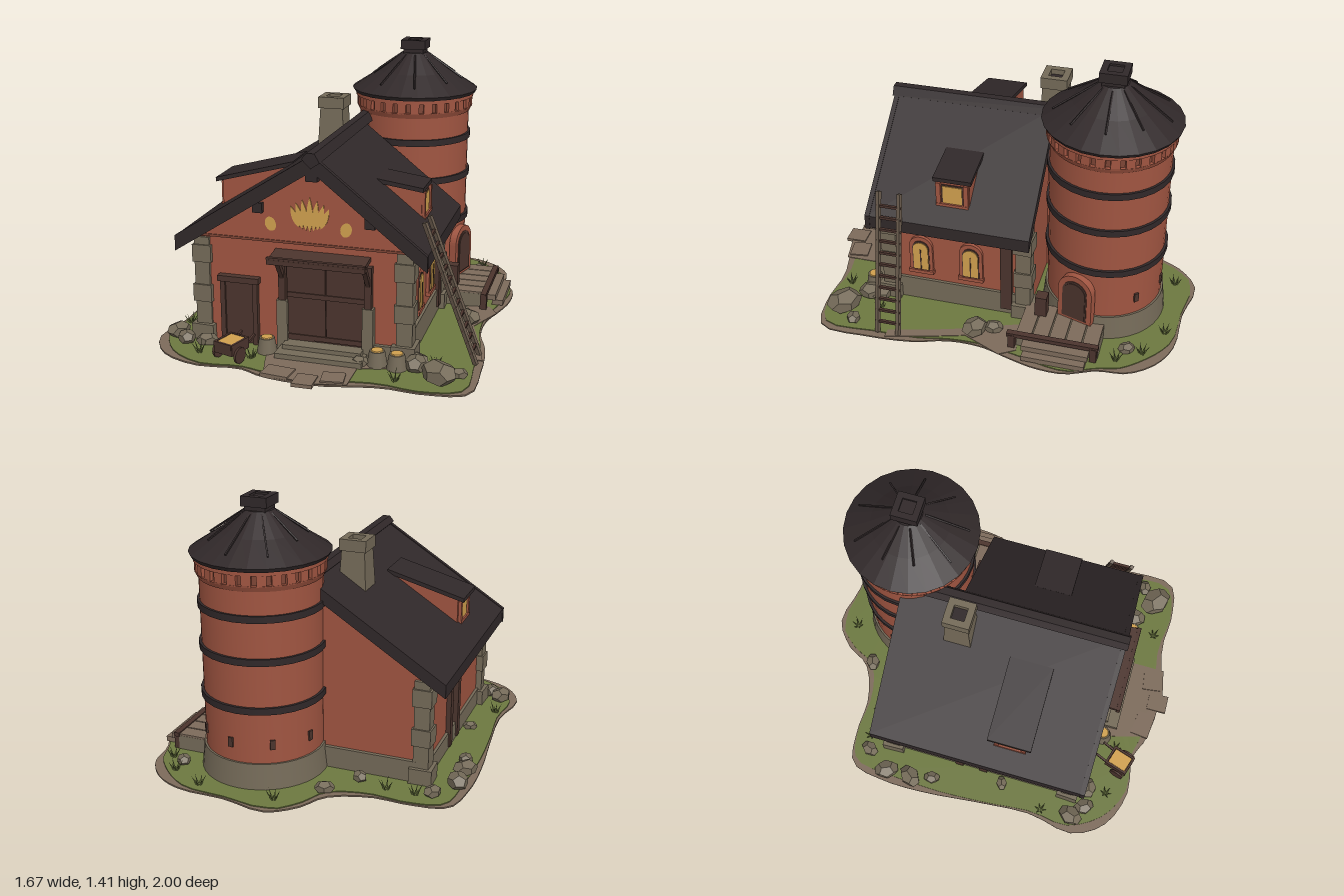
import * as THREE from 'three';

const mat = (name, color) => {
  const m = new THREE.MeshStandardMaterial({ color });
  m.name = name;
  return m;
};

export function createModel() {
  const slate = mat('slate', 0x302829), brick = mat('brick', 0xa05541), darkBrick = mat('darkBrick', 0x7d4535);
  const stone = mat('stone', 0x746a58), wood = mat('darkWood', 0x4b342d), oldWood = mat('weatheredWood', 0x66584a);
  const grass = mat('grass', 0x6c7840), path = mat('path', 0x7c6a5a), gold = mat('gold', 0xd0a04e), soil = mat('soil', 0x6c5d4f);
  const root = new THREE.Group(), building = new THREE.Group();
  building.name = 'building';
  building.position.y = 0.004;
  root.add(building);
  let seed = 7;
  const rnd = () => (seed = (seed * 16807) % 2147483647) / 2147483647;

  // Helpers
  const add = (name, geo, m, x = 0, y = 0, z = 0, ry = 0, parent = building) => {
    const mesh = new THREE.Mesh(geo, m);
    mesh.name = name;
    mesh.position.set(x, y, z);
    mesh.rotation.y = ry;
    parent.add(mesh);
    return mesh;
  };
  const box = (name, m, x, y, z, w, h, d, ry = 0, parent = building) =>
    add(name, new THREE.BoxGeometry(w, h, d), m, x, y, z, ry, parent);
  const cyl = (name, m, x, y, z, rTop, rBot, h, n = 40) => add(name, new THREE.CylinderGeometry(rTop, rBot, h, n), m, x, y, z);
  const extrude = (shape, depth) => new THREE.ExtrudeGeometry(shape, { depth, bevelEnabled: false, curveSegments: 10 });
  const poly = pts => new THREE.Shape(pts.map(p => new THREE.Vector2(p[0], p[1])));
  const prism = (name, m, pts, z0, z1) => add(name, extrude(poly(pts), z1 - z0), m, 0, 0, z0);
  const slab = (name, m, x1, y1, x2, y2, t, z0, z1) =>
    prism(name, m, [[x1, y1], [x2, y2], [x2, y2 - t], [x1, y1 - t]], z0, z1);
  const beam = (name, m, a, b, t, parent = building) => {
    const p = new THREE.Vector3(...a), q = new THREE.Vector3(...b);
    const mesh = box(name, m, 0, 0, 0, t, t, p.distanceTo(q), 0, parent);
    mesh.position.copy(p).lerp(q, 0.5);
    mesh.quaternion.setFromUnitVectors(new THREE.Vector3(0, 0, 1), q.sub(p).normalize());
    return mesh;
  };
  const arch = (w, h) => {
    const s = new THREE.Shape();
    s.moveTo(-w / 2, 0);
    s.lineTo(w / 2, 0);
    s.lineTo(w / 2, h - w / 2);
    s.absarc(0, h - w / 2, w / 2, 0, Math.PI, false);
    return s;
  };
  const flat = (name, m, pts, y, h) => {
    const g = extrude(poly(pts.map(p => [p[0], -p[1]])), h);
    g.rotateX(-Math.PI / 2);
    return add(name, g, m, 0, y, 0, 0, root);
  };

  // Ground
  const outline = [[0.02, -1], [0.25, -0.96], [0.5, -0.95], [0.65, -0.88], [0.75, -0.75], [0.77, -0.6], [0.83, -0.45], [0.83, -0.3],
    [0.8, -0.17], [0.75, 0], [0.75, 0.18], [0.8, 0.35], [0.82, 0.6], [0.8, 0.85], [0.6, 0.9], [0.4, 0.89], [0.1, 0.95], [-0.17, 0.93],
    [-0.3, 0.88], [-0.52, 0.9], [-0.72, 0.82], [-0.82, 0.65], [-0.78, 0.4], [-0.8, 0.1], [-0.83, -0.2], [-0.83, -0.45],
    [-0.78, -0.65], [-0.6, -0.69], [-0.4, -0.69], [-0.2, -0.77], [-0.12, -0.9]];
  const rim = new THREE.CatmullRomCurve3(outline.map(p => new THREE.Vector3(p[0], 0, p[1])), true).getPoints(90).slice(0, -1).map(p => [p.x, p.z]);
  flat('groundBase', soil, rim, 0, 0.004);
  flat('dirtRim', path, rim, 0.004, 0.004);
  flat('grass', grass, rim.map((p, i) => {
    const k = 0.972 + 0.02 * Math.sin(i * 0.5);
    return [p[0] * k, p[1] * k];
  }), 0.008, 0.005);
  flat('frontPath', path, [[-0.25, 0.6], [0.5, 0.6], [0.42, 0.7], [0.25, 0.75], [0.25, 0.93], [0.1, 0.96], [-0.16, 0.93], [-0.2, 0.8]], 0.012, 0.004);
  flat('sidePath', path, [[0.55, -0.15], [0.74, -0.18], [0.79, -0.1], [0.7, 0.1], [0.76, 0.3], [0.81, 0.5], [0.76, 0.5], [0.68, 0.2]], 0.012, 0.004);
  [[-0.1, 0.89, 0.14, 0.1], [0.05, 0.94, 0.1, 0.11], [0.17, 0.88, 0.11, 0.1]].forEach(([x, z, w, d], i) =>
    box('pavingStone', path, x, 0.01, z, w, 0.018, d, i * 0.12 - 0.1));

  // House walls, with the right half stopping short at the tower
  prism('frontHouseWalls', brick, [[-0.6, 0], [0.46, 0], [0.46, 0.6], [0, 0.96], [-0.6, 0.57]], -0.17, 0.6);
  prism('rearHouseWalls', brick, [[-0.6, 0], [0.02, 0], [0.02, 0.96], [-0.6, 0.57]], -0.47, -0.17);
  prism('gablePanel', brick, [[-0.6, 0.565], [0.46, 0.565], [0.46, 0.6], [0, 0.96], [-0.6, 0.572]], 0.6, 0.622);
  box('gableLedge', darkBrick, -0.07, 0.568, 0.61, 1.04, 0.012, 0.034);
  box('rightFoundation', stone, 0.46, 0.07, 0.21, 0.03, 0.14, 0.78);
  box('leftFoundation', stone, -0.6, 0.05, 0.06, 0.03, 0.1, 1.07);
  box('rearFoundation', stone, -0.32, 0.06, -0.475, 0.56, 0.12, 0.03);
  box('frontFoundation', stone, 0.36, 0.04, 0.605, 0.2, 0.08, 0.03);

  // Stone corner piers
  const pier = (x, z, top) => {
    for (let y = 0, i = 0; y < top - 0.01; i++) {
      const h = Math.min(0.09 + 0.03 * (i % 2), top - y);
      const w = 0.08 + (i % 2 ? 0 : 0.018) + (i === 0 ? 0.02 : 0);
      box('cornerStone', stone, x, y + h / 2, z, w, h, w, (rnd() - 0.5) * 0.1);
      y += h;
    }
  };
  pier(-0.59, 0.575, 0.55);
  pier(0.445, 0.575, 0.56);
  pier(-0.59, -0.45, 0.55);
  pier(0.445, -0.15, 0.55);
  box('rightWallPost', wood, 0.465, 0.28, -0.06, 0.04, 0.48, 0.06);
  for (const z of [-0.06, 0.08]) box('leftWallPost', wood, -0.605, 0.28, z, 0.04, 0.52, 0.045);
  box('leftWallBeam', wood, -0.605, 0.5, 0.06, 0.035, 0.04, 1);

  // Main roof
  slab('leftRoof', slate, -0.71, 0.56, 0.02, 1.025, 0.07, -0.51, 0.65);
  slab('rightRoof', slate, 0.56, 0.57, 0, 1.015, 0.07, -0.2, 0.65);
  slab('leftBargeBoard', slate, -0.712, 0.562, 0, 1.018, 0.08, 0.635, 0.66);
  slab('rightBargeBoard', slate, 0.562, 0.572, 0, 1.02, 0.08, 0.635, 0.66);
  prism('ridgeCap', slate, [[-0.045, 1.0], [-0.02, 1.03], [0.02, 1.03], [0.045, 0.985], [0, 0.955]], -0.515, 0.67);
  box('ridgeBeamEnd', slate, 0, 0.925, 0.625, 0.06, 0.07, 0.07);
  for (const [x, y] of [[-0.28, 0.735], [0.28, 0.7]]) box('purlinEnd', slate, x, y, 0.62, 0.05, 0.05, 0.05);

  // Dormers
  const dormer = (s, x, yLow, yTop, xIn, yIn, z0, z1, lip) => {
    const zc = (z0 + z1) / 2, h = yTop - yLow;
    prism('dormerWalls', brick, [[s * x, yLow], [s * x, yTop], [s * xIn, yIn], [s * xIn, yLow]], z0 + 0.012, z1 - 0.012);
    slab('dormerRoof', slate, s * (x + lip), yTop + 0.015, s * xIn, yIn + 0.018, 0.022, z0, z1);
    box('dormerReveal', wood, s * (x + 0.001), yLow + h * 0.48, zc, 0.008, 0.116, 0.116);
    box('dormerPane', gold, s * (x + 0.005), yLow + h * 0.48, zc, 0.008, 0.1, 0.1);
    for (const e of [-1, 1]) box('dormerJamb', brick, s * (x + 0.006), yLow + h * 0.48, zc + e * 0.072, 0.02, h * 0.9, 0.024);
    box('dormerSill', brick, s * (x + 0.006), yLow + 0.012, zc, 0.024, 0.024, 0.17);
  };
  dormer(1, 0.455, 0.63, 0.785, 0.23, 0.815, 0.12, 0.32, 0.01);
  dormer(-1, 0.585, 0.62, 0.765, 0.2, 0.875, 0.11, 0.34, 0.035);

  // Chimney
  const stack = add('chimneyStack', new THREE.CylinderGeometry(0.085, 0.11, 0.34, 4).rotateY(Math.PI / 4).toNonIndexed(), stone, -0.135, 0.93, -0.17);
  stack.geometry.computeVertexNormals();
  for (const s of [-1, 1]) {
    box('chimneyRim', stone, -0.135 + s * 0.053, 1.108, -0.17, 0.035, 0.06, 0.14);
    box('chimneyRim', stone, -0.135, 1.108, -0.17 + s * 0.053, 0.072, 0.06, 0.035);
  }
  box('chimneyFlue', slate, -0.135, 1.1, -0.17, 0.075, 0.02, 0.075);

  // Large front door with awning and steps
  for (const s of [-1, 1]) box('barnDoorLeaf', wood, 0.055 + s * 0.1, 0.26, 0.61, 0.196, 0.4, 0.02);
  for (const y of [0.08, 0.3]) box('barnDoorRail', wood, 0.055, y, 0.62, 0.39, 0.025, 0.012);
  for (const x of [-0.165, 0.27]) {
    box('doorPost', wood, x, 0.36, 0.615, 0.035, 0.24, 0.04);
    box('doorPostStone', stone, x, 0.14, 0.615, 0.055, 0.26, 0.05);
    beam('awningBrace', wood, [x, 0.38, 0.62], [x, 0.5, 0.7], 0.022);
  }
  const awning = box('awning', wood, 0.035, 0.505, 0.66, 0.48, 0.022, 0.13);
  awning.rotation.x = 0.12;
  box('awningEdge', wood, 0.035, 0.5, 0.715, 0.49, 0.035, 0.02);
  box('lowerStep', stone, 0.05, 0.02, 0.67, 0.44, 0.035, 0.16);
  box('upperStep', stone, 0.05, 0.045, 0.64, 0.4, 0.03, 0.1);

  // Small front door
  box('smallDoor', wood, -0.395, 0.17, 0.605, 0.15, 0.32, 0.02);
  for (const x of [-0.48, -0.31]) box('smallDoorPost', wood, x, 0.17, 0.61, 0.025, 0.34, 0.035);
  box('smallDoorLintel', wood, -0.395, 0.35, 0.615, 0.215, 0.03, 0.045);

  // Gilded gable ornament: a plain spray of leaves and two ovals
  for (let i = -3; i <= 3; i++) {
    const h = 0.17 - Math.abs(i) * 0.02, s = new THREE.Shape();
    s.moveTo(0, 0);
    s.quadraticCurveTo(0.032, h * 0.4, 0, h);
    s.quadraticCurveTo(-0.032, h * 0.4, 0, 0);
    add('gableLeaf', extrude(s, 0.005), gold, -0.02 + i * 0.018, 0.632 + Math.abs(i) * 0.006, 0.622).rotation.z = -i * 0.13;
  }
  for (const x of [-0.22, 0.16]) {
    const oval = add('gableOval', new THREE.CircleGeometry(0.028, 20), gold, x, 0.655, 0.625);
    oval.scale.y = 1.3;
    oval.rotation.z = x < 0 ? 0.3 : -0.3;
  }

  // Arched openings
  const opening = (name, x, y, z, ry, w, h, fill, depth) => {
    const g = new THREE.Group();
    g.name = name;
    g.position.set(x, y, z);
    g.rotation.y = ry;
    building.add(g);
    add('surround', extrude(arch(w, h), depth), brick, 0, 0, 0, 0, g);
    add('reveal', extrude(arch(w * 0.72, h * 0.84), 0.004), wood, 0, h * 0.05, depth, 0, g);
    add('panel', extrude(arch(w * 0.64, h * 0.77), 0.004), fill, 0, h * 0.08, depth + 0.004, 0, g);
  };
  for (const z of [0.4, 0.13]) {
    opening('archedWindow', 0.455, 0.2, z, Math.PI / 2, 0.125, 0.22, gold, 0.022);
    box('windowSill', brick, 0.47, 0.2, z, 0.035, 0.02, 0.135);
    box('windowBar', wood, 0.486, 0.28, z, 0.003, 0.13, 0.006);
  }

  // Round tower
  const tx = 0.225, tz = -0.53;
  cyl('towerBase', stone, tx, 0.07, tz, 0.31, 0.325, 0.14);
  cyl('towerWall', brick, tx, 0.6, tz, 0.303, 0.3, 0.94);
  [0.42, 0.67, 0.885].forEach(y => cyl('towerBand', slate, tx, y, tz, 0.315, 0.315, 0.035, 28));
  cyl('corniceCore', darkBrick, tx, 1.08, tz, 0.304, 0.304, 0.12);
  cyl('corniceLower', brick, tx, 1.035, tz, 0.322, 0.308, 0.03);
  cyl('corniceUpper', brick, tx, 1.118, tz, 0.326, 0.326, 0.036);
  for (let i = 0; i < 28; i++) {
    const a = (i / 28) * Math.PI * 2;
    box('corniceBlock', brick, tx + Math.sin(a) * 0.308, 1.08, tz + Math.cos(a) * 0.308, 0.046, 0.07, 0.024, a);
  }
  const profile = [[0, 1.12], [0.335, 1.12], [0.347, 1.14], [0.2, 1.235], [0.07, 1.335], [0, 1.335]].map(p => new THREE.Vector2(...p));
  const cone = new THREE.LatheGeometry(profile, 24).toNonIndexed();
  cone.computeVertexNormals();
  add('towerRoof', cone, slate, tx, 0, tz);
  for (let i = 0; i < 9; i++) {
    const a = (i + 0.3) * Math.PI * 2 / 9, c = Math.sin(a), d = Math.cos(a), r = 0.2 + 0.1 * rnd();
    beam('roofSeam', slate, [tx + c * r, 1.338 - (r - 0.07) * 0.71, tz + d * r], [tx + c * 0.08, 1.325, tz + d * 0.08], 0.008);
  }
  box('towerVent', slate, tx, 1.35, tz, 0.11, 0.09, 0.11);
  for (const s of [-1, 1]) {
    box('ventRim', slate, tx + s * 0.052, 1.38, tz, 0.032, 0.05, 0.136);
    box('ventRim', slate, tx, 1.38, tz + s * 0.052, 0.075, 0.05, 0.032);
  }
  for (const a of [2.3, 3, 3.7, 4.4]) box('towerSlot', wood, tx + Math.sin(a) * 0.302, 0.24, tz + Math.cos(a) * 0.302, 0.025, 0.05, 0.014, a);
  opening('towerDoor', tx + 0.28, 0.1, tz + 0.085, 1.28, 0.19, 0.28, wood, 0.04);

  // Porch, steps and bench rail
  box('porchDeck', stone, 0.58, 0.045, -0.38, 0.24, 0.08, 0.42);
  for (let i = 0; i < 5; i++) box('porchPlank', path, 0.59, 0.088, -0.55 + i * 0.085, 0.26, 0.014, 0.078);
  box('porchStep', path, 0.735, 0.055, -0.38, 0.06, 0.03, 0.34);
  box('porchStep', path, 0.775, 0.025, -0.38, 0.06, 0.028, 0.32);
  box('porchRail', wood, 0.71, 0.09, -0.36, 0.03, 0.022, 0.47);
  for (const z of [-0.57, -0.15]) box('porchLeg', wood, 0.71, 0.045, z, 0.035, 0.09, 0.035);
  box('storageCrate', wood, 0.52, 0.13, -0.26, 0.06, 0.16, 0.06);

  // Ladder leaning past the eave
  const ladder = new THREE.Group();
  ladder.name = 'ladder';
  building.add(ladder);
  for (const z of [0, 0.11]) beam('ladderRail', oldWood, [0.785, 0.01, 0.435 + z], [0.53, 0.715, 0.475 + z], 0.02, ladder);
  for (let i = 1; i < 12; i++) {
    const t = i / 12.2, x = 0.785 - 0.255 * t, z = 0.435 + 0.04 * t;
    beam('ladderRung', wood, [x, 0.01 + 0.705 * t, z - 0.01], [x, 0.01 + 0.705 * t, z + 0.12], 0.014, ladder);
  }

  // Handcart with load
  const cart = new THREE.Group();
  cart.name = 'handcart';
  cart.position.set(-0.365, 0, 0.81);
  cart.rotation.y = -0.3;
  building.add(cart);
  box('cartBed', wood, 0, 0.065, 0, 0.11, 0.015, 0.13, 0, cart);
  box('cartLoad', gold, 0, 0.09, 0, 0.085, 0.045, 0.105, 0, cart);
  for (const s of [-1, 1]) {
    box('cartSide', wood, s * 0.05, 0.09, 0, 0.012, 0.05, 0.13, 0, cart);
    box('cartEnd', wood, 0, 0.09, s * 0.06, 0.1, 0.05, 0.012, 0, cart);
    add('cartWheel', new THREE.CylinderGeometry(0.04, 0.04, 0.012, 14).rotateZ(Math.PI / 2), wood, s * 0.066, 0.052, 0.02, 0, cart);
    beam('cartHandle', wood, [s * 0.04, 0.07, -0.06], [s * 0.04, 0.1, -0.13], 0.012, cart);
  }

  // Sacks with open tops
  for (const [x, z] of [[-0.23, 0.68], [0.33, 0.68], [0.43, 0.69]]) {
    cyl('sack', stone, x, 0.045, z, 0.038, 0.052, 0.08, 10);
    cyl('sackFill', gold, x, 0.086, z, 0.028, 0.032, 0.008, 10);
  }

  // Rocks
  [[-0.77, -0.45, 0.06], [-0.77, -0.31, 0.06], [-0.74, -0.19, 0.04], [0.66, 0.06, 0.065], [0.62, -0.03, 0.045], [0.65, 0.78, 0.085],
    [0.73, 0.7, 0.04], [-0.73, 0.62, 0.06], [-0.66, 0.68, 0.05], [-0.18, -0.73, 0.045], [0.52, 0.68, 0.06], [-0.55, 0.68, 0.05],
    [0.25, 0.7, 0.04], [0.52, 0.62, 0.05], [-0.68, -0.58, 0.045], [-0.3, -0.56, 0.04], [-0.66, 0.2, 0.035], [0.6, -0.72, 0.04]].forEach(([x, z, r]) => {
    const rock = add('rock', new THREE.DodecahedronGeometry(r), stone, x, r * 0.68, z, rnd() * 6);
    rock.scale.set(1.15, 0.7, 0.9);
  });

  // Grass tufts
  [[0.02, -0.89], [0.42, -0.89], [0.6, -0.8], [0.68, -0.68], [-0.6, -0.6], [-0.45, -0.6], [-0.74, 0.45], [-0.55, 0.78],
    [0.6, 0.6], [0.45, 0.82], [-0.28, 0.77]].forEach(([x, z]) => {
    for (let i = 0; i < 6; i++) {
      const h = 0.045 + rnd() * 0.03, a = i * 1.05;
      const blade = add('grassBlade', new THREE.ConeGeometry(0.006, h, 3), grass, x + Math.sin(a) * 0.022, h / 2, z + Math.cos(a) * 0.022);
      blade.rotation.set(Math.cos(a) * 0.5, 0, -Math.sin(a) * 0.5);
    }
  });
  return root;
}
